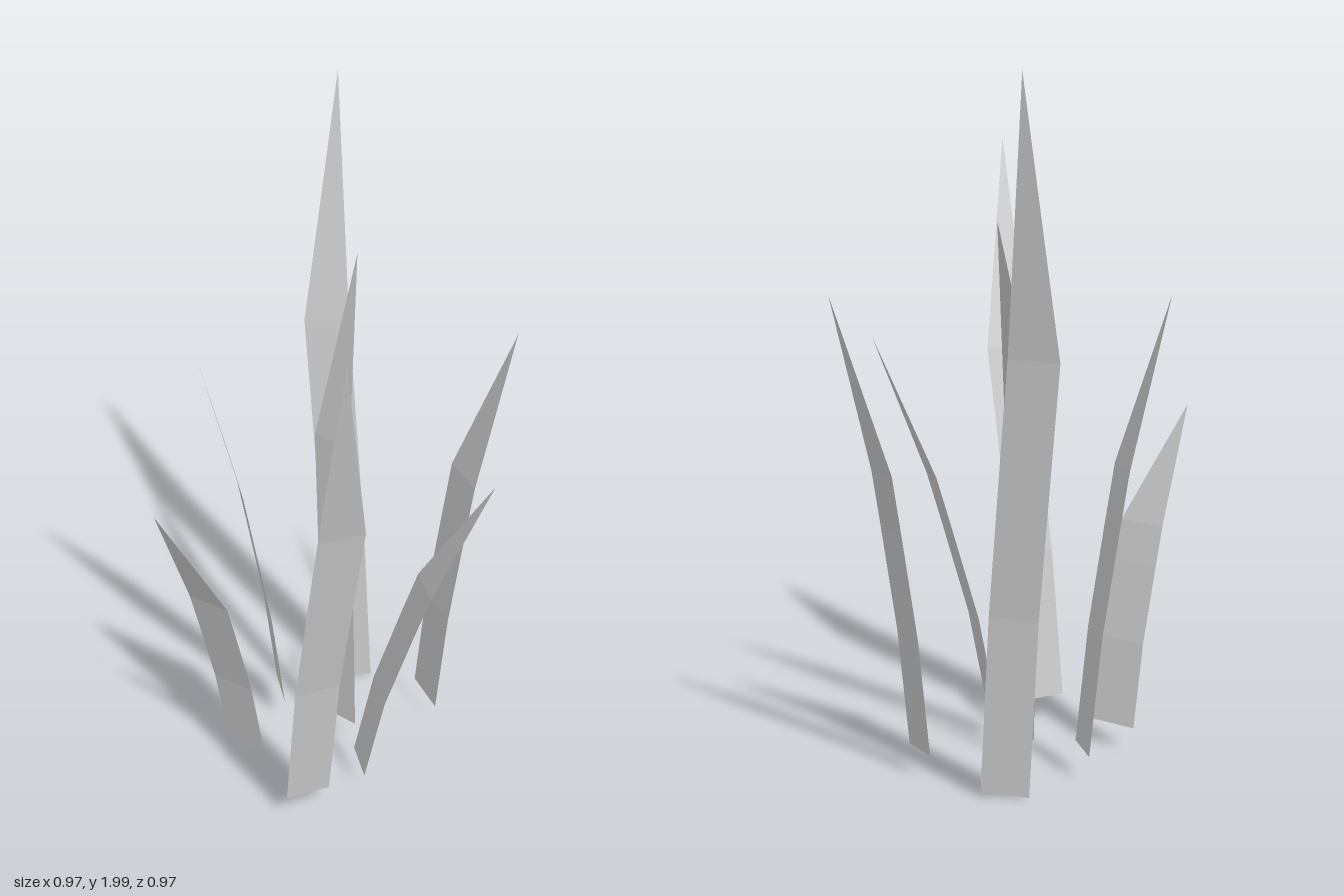
import * as THREE from 'three';

// Each blade: the two base corners, the lean from base to shoulder, and the tip
const BLADES = [
  { a: [-0.285, 0, -0.22], b: [-0.175, 0.01, -0.3], lean: [-0.175, 1.25, -0.085], tip: [-0.485, 1.99, -0.485] },
  { a: [0, 0.08, -0.32], b: [0.13, 0.07, -0.27], lean: [0.04, 0.82, -0.1], tip: [0.21, 1.39, -0.485] },
  { a: [-0.13, 0.075, -0.02], b: [0.01, 0.09, -0.02], lean: [-0.12, 0.945, -0.105], tip: [-0.19, 1.6, -0.245] },
  { a: [0.07, 0.075, 0.05], b: [0.17, 0.065, 0.113], lean: [0.17, 0.73, -0.085], tip: [0.48, 1.21, -0.06] },
  { a: [-0.345, 0.08, -0.03], b: [-0.23, 0.08, 0.05], lean: [-0.065, 0.82, 0.087], tip: [-0.475, 1.39, 0.152] },
  { a: [-0.28, 0.07, 0.26], b: [-0.145, 0.075, 0.237], lean: [-0.015, 0.6, 0.108], tip: [-0.295, 1.02, 0.483] },
  { a: [0.07, 0.075, 0.352], b: [0.127, 0.07, 0.226], lean: [0.183, 1.08, 0.044], tip: [0.405, 1.79, 0.447] },
];

// Height and sideways drift of each cross-row, as fractions of the lean
const ROWS = [[0, 0], [0.42, 0.32], [0.8, 0.76], [1, 1]];

function bladeGeometry({ a, b, lean, tip }) {
  const positions = [];
  const index = [];
  // Constant-width strip that bends outward row by row
  ROWS.forEach(([rise, drift], i) => {
    for (const p of [a, b]) {
      positions.push(p[0] + lean[0] * drift, p[1] + lean[1] * rise, p[2] + lean[2] * drift);
    }
    if (i > 0) {
      const k = 2 * i;
      index.push(k - 2, k - 1, k + 1, k - 2, k + 1, k);
    }
  });
  // Pointed end
  const last = 2 * (ROWS.length - 1);
  positions.push(...tip);
  index.push(last, last + 1, last + 2);

  const geometry = new THREE.BufferGeometry();
  geometry.setAttribute('position', new THREE.Float32BufferAttribute(positions, 3));
  geometry.setIndex(index);
  const flat = geometry.toNonIndexed();
  flat.computeVertexNormals();
  return flat;
}

export function createModel() {
  const group = new THREE.Group();
  group.name = 'grassTuft';
  const material = new THREE.MeshStandardMaterial({
    color: 0xcccccc,
    flatShading: true,
    side: THREE.DoubleSide,
  });
  BLADES.forEach((blade, i) => {
    const mesh = new THREE.Mesh(bladeGeometry(blade), material);
    mesh.name = `grassBlade${i + 1}`;
    group.add(mesh);
  });
  return group;
}
